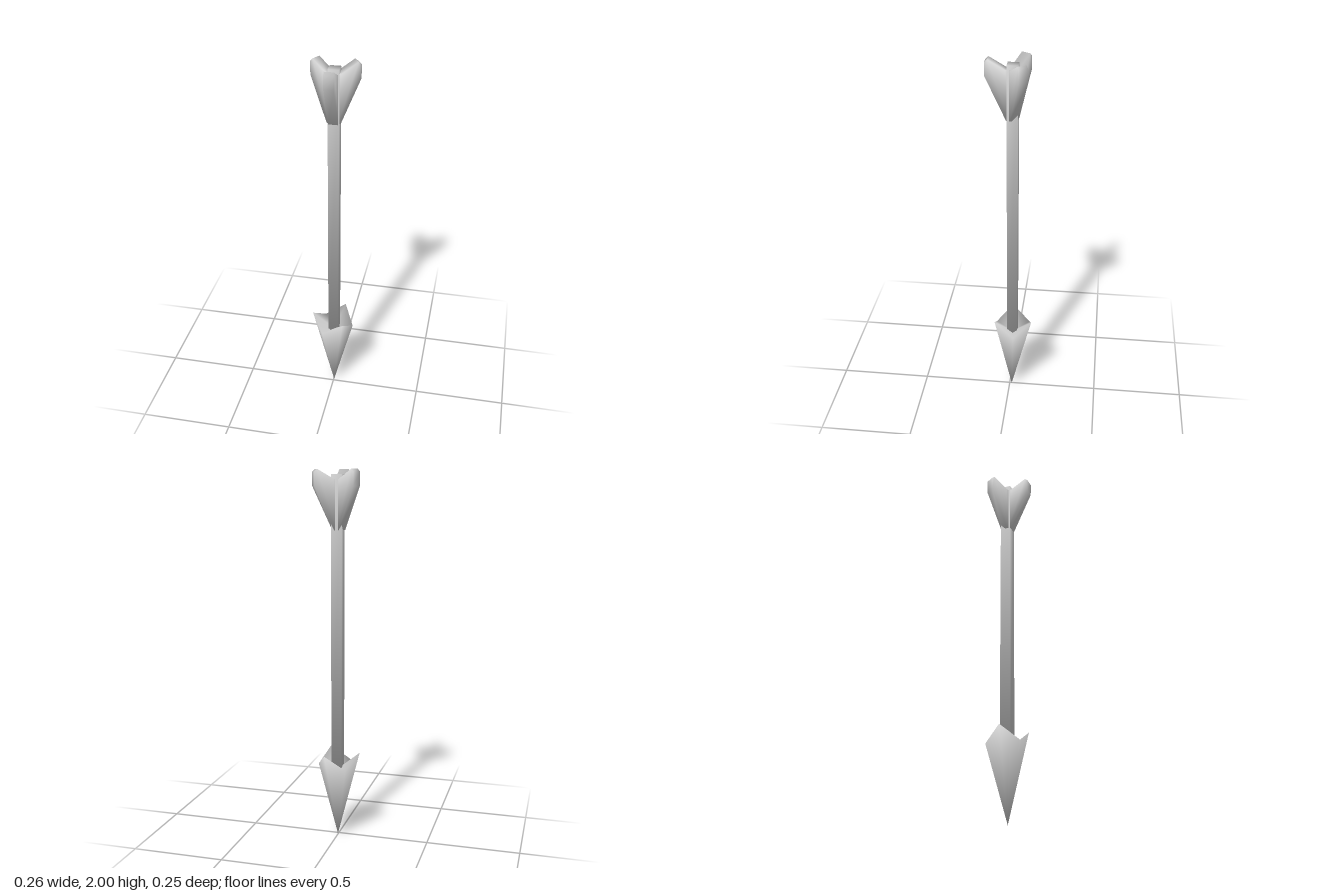
import * as THREE from 'three';
import { mergeVertices } from 'three/addons/utils/BufferGeometryUtils.js';

// Weld all corners and average the face normals by corner angle,
// so long faces do not outweigh short ones
function smooth(geometry) {
  geometry.deleteAttribute('normal');
  geometry.deleteAttribute('uv');
  const welded = mergeVertices(geometry, 1e-4);
  const position = welded.attributes.position;
  const normals = Array.from({ length: position.count }, () => new THREE.Vector3());
  const index = welded.index.array;
  for (let f = 0; f < index.length; f += 3) {
    const ids = [index[f], index[f + 1], index[f + 2]];
    const p = ids.map((i) => new THREE.Vector3().fromBufferAttribute(position, i));
    const face = new THREE.Triangle(...p).getNormal(new THREE.Vector3());
    ids.forEach((id, k) => {
      const u = p[(k + 1) % 3].clone().sub(p[k]);
      const v = p[(k + 2) % 3].clone().sub(p[k]);
      normals[id].addScaledVector(face, u.angleTo(v));
    });
  }
  const flat = normals.flatMap((n) => n.normalize().toArray());
  welded.setAttribute('normal', new THREE.Float32BufferAttribute(flat, 3));
  return welded;
}

// Closed solid between a lower tip, a rim and an upper centre point
function spearhead(tip, rim, centre) {
  const points = [tip, centre, ...rim];
  const index = [];
  rim.forEach((_, i) => {
    const a = i + 2, b = ((i + 1) % rim.length) + 2;
    index.push(0, b, a, 1, a, b);
  });
  const g = new THREE.BufferGeometry();
  g.setAttribute('position', new THREE.Float32BufferAttribute(points.flat(), 3));
  g.setIndex(index);
  return g;
}

export function createModel() {
  const group = new THREE.Group();
  const grey = new THREE.MeshStandardMaterial({ color: 0xcccccc });
  grey.name = 'grey';
  const cx = 0.002, cz = -0.016;
  const add = (name, geometry) => {
    const mesh = new THREE.Mesh(geometry, grey);
    mesh.name = name;
    group.add(mesh);
    return mesh;
  };

  // Square shaft
  const shaft = add('shaft', smooth(new THREE.BoxGeometry(0.057, 1.63, 0.057)));
  shaft.position.set(cx, 1.16, cz);

  // Arrowhead: rim alternates between raised barbs and low notches
  const rim = [
    [-0.12, 0.485, -0.008], [-0.05, 0.41, 0.079], [0.066, 0.485, 0.079],
    [0.107, 0.41, -0.03], [0.048, 0.485, -0.126], [-0.065, 0.41, -0.108],
  ];
  add('arrowhead', smooth(spearhead([0.002, 0, -0.012], rim, [cx, 0.385, cz])));

  // Three fins round the tail; profile is radius against height
  const profile = [[0.01, 1.69], [0.027, 1.69], [0.132, 1.915], [0.133, 1.985], [0.117, 2], [0.03, 1.95], [0.01, 1.95]];
  const shape = new THREE.Shape(profile.map(([r, y]) => new THREE.Vector2(r, y)));
  const finGeometry = new THREE.ExtrudeGeometry(shape, { depth: 0.05, bevelEnabled: false });
  finGeometry.translate(0, 0, -0.025);
  const fin = smooth(finGeometry);
  for (let i = 0; i < 3; i++) {
    const mesh = add('fin' + (i + 1), fin);
    mesh.position.set(0.001, 0, -0.011);
    mesh.rotation.y = -Math.PI / 2 + (i * Math.PI * 2) / 3;
  }
  return group;
}
